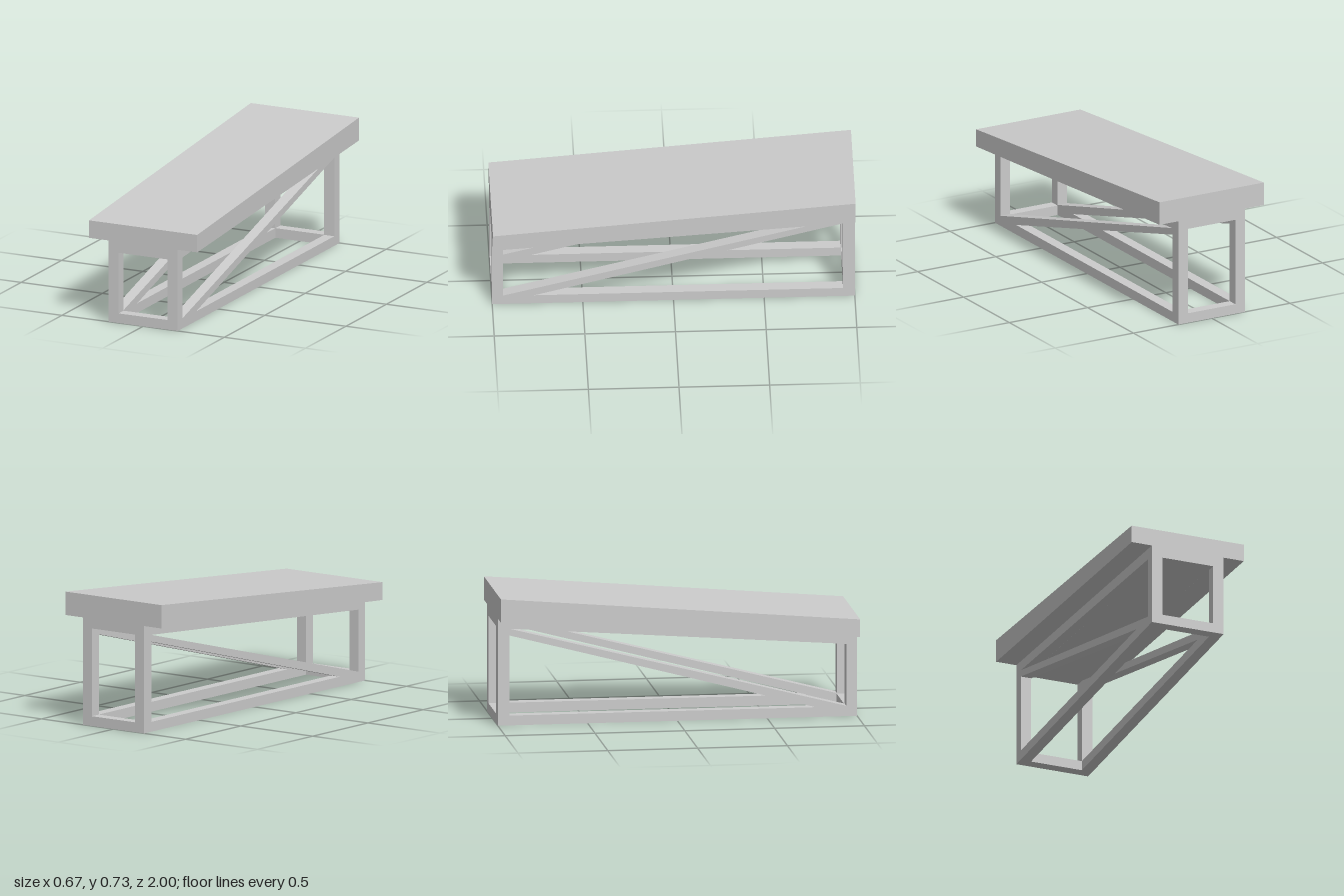
import * as THREE from 'three';

const material = new THREE.MeshStandardMaterial({ color: 0xcccccc, flatShading: true });
const points = (list) => list.map(([z, y]) => new THREE.Vector2(z, y));

// Extrudes a side profile of [z, y] points across x, centred on the given x.
function profile(name, outline, width, x = 0, holes = []) {
  const shape = new THREE.Shape(points(outline));
  for (const hole of holes) shape.holes.push(new THREE.Path(points(hole)));
  const geometry = new THREE.ExtrudeGeometry(shape, { depth: width, bevelEnabled: false });
  geometry.translate(0, 0, -width / 2).rotateY(-Math.PI / 2).translate(x, 0, 0);
  const mesh = new THREE.Mesh(geometry, material);
  mesh.name = name;
  return mesh;
}

export function createModel() {
  const group = new THREE.Group();
  group.name = 'slopedBench';
  const outer = 0.213, inner = 0.151;
  const bar = outer - inner, barHeight = 0.055;

  // Sloping top slab, thicker towards the back
  group.add(profile('topSlab', [[1, 0.465], [1, 0.565], [-1, 0.733], [-1, 0.602]], 0.666));

  // Solid bearer filling the space between the side frames under the slab
  group.add(profile('underBearer', [[1, 0.402], [1, 0.465], [-1, 0.602], [-1, 0.547]], inner * 2));

  // Side frames: legs, rails and a diagonal brace around two triangular openings
  for (const side of [-1, 1]) {
    group.add(profile(
      side > 0 ? 'leftFrame' : 'rightFrame',
      [[1, 0], [1, 0.465], [-1, 0.602], [-1, 0]],
      bar, side * (outer + inner) / 2,
      [
        [[0.94, 0.058], [0.94, 0.406], [-0.935, 0.543]],
        [[0.77, barHeight], [-0.935, barHeight], [-0.935, 0.505]],
      ],
    ));
  }

  // Floor crossbars at the front and back
  for (const end of [-1, 1]) {
    const crossbar = new THREE.Mesh(new THREE.BoxGeometry(inner * 2, barHeight, bar), material);
    crossbar.position.set(0, barHeight / 2, end * (1 - bar / 2));
    crossbar.name = end > 0 ? 'frontCrossbar' : 'backCrossbar';
    group.add(crossbar);
  }
  return group;
}
